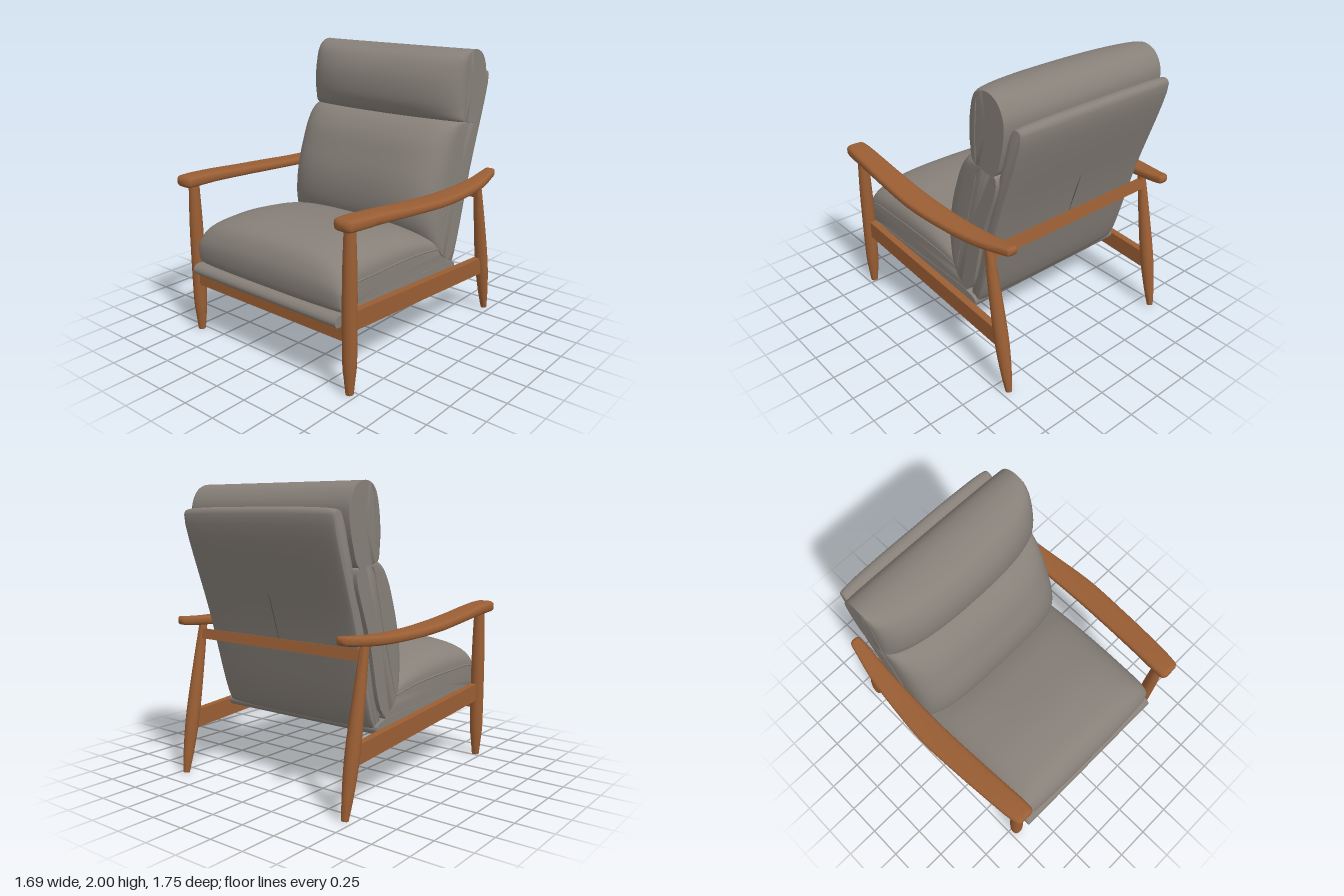
import * as THREE from 'three';
import { mergeVertices, toCreasedNormals } from 'three/addons/utils/BufferGeometryUtils.js';

const wood = new THREE.MeshStandardMaterial({ color: 0x9a5e34 });
wood.name = 'wood';
const leather = new THREE.MeshStandardMaterial({ color: 0x878079 });
leather.name = 'grey leather';
const seamMat = new THREE.MeshStandardMaterial({ color: 0x55504c });
seamMat.name = 'dark seam';

const V = (x, y, z) => new THREE.Vector3(x, y, z);

function add(parent, name, geometry, material) {
  const m = new THREE.Mesh(geometry, material);
  m.name = name;
  parent.add(m);
  return m;
}

// Closed skin over a row of rings, with fan caps at both ends
function skin(rings, crease = 0.7) {
  const n = rings[0].length, pos = [], idx = [];
  rings.forEach(r => r.forEach(p => pos.push(p.x, p.y, p.z)));
  for (let i = 0; i < rings.length - 1; i++) {
    for (let j = 0; j < n; j++) {
      const k = (j + 1) % n;
      const a = i * n + j, b = a + n, c = i * n + k, d = c + n;
      idx.push(a, b, d, a, d, c);
    }
  }
  [0, rings.length - 1].forEach((i, last) => {
    const mid = V(0, 0, 0);
    rings[i].forEach(p => mid.addScaledVector(p, 1 / n));
    const c = pos.length / 3;
    pos.push(mid.x, mid.y, mid.z);
    for (let j = 0; j < n; j++) {
      const a = i * n + j, b = i * n + (j + 1) % n;
      idx.push(c, last ? b : a, last ? a : b);
    }
  });
  const g = new THREE.BufferGeometry();
  g.setAttribute('position', new THREE.Float32BufferAttribute(pos, 3));
  g.setIndex(idx);
  return toCreasedNormals(mergeVertices(g), crease);
}

// Smooth closed (z, y) profile
function profile(points) {
  const c = new THREE.CatmullRomCurve3(points.map(([z, y]) => V(0, y, z)), true);
  return c.getPoints(points.length * 6).slice(0, -1);
}

// Cushion: the side profile swells to the middle profile along a superellipse
function cushion(middle, side, halfWidth, power) {
  const m = profile(middle), s = profile(side), rings = [], steps = 36;
  for (let i = 0; i <= steps; i++) {
    const a = (i / steps - 0.5) * Math.PI;
    const u = Math.sign(a) * Math.pow(Math.abs(Math.sin(a)), 2 / power);
    const f = Math.pow(Math.max(0, Math.cos(a)), 2 / power);
    rings.push(s.map((p, j) => {
      const q = p.clone().lerp(m[j], i === 0 || i === steps ? 0 : f);
      q.x = u * halfWidth;
      return q;
    }));
  }
  return skin(rings);
}

function tube(points, radius) {
  return new THREE.TubeGeometry(new THREE.CatmullRomCurve3(points), 32, radius, 6);
}

function addPiping(parent, name, side, x) {
  for (const s of [-1, 1]) {
    add(parent, name, tube(side.map(([z, y]) => V(s * x, y, z)), 0.007), leather);
  }
}

// Turned leg from [radius, height] pairs
function leg(points) {
  const curve = new THREE.SplineCurve(points.map(([r, y]) => new THREE.Vector2(r, y)));
  const top = points[points.length - 1][1], foot = points[0][1];
  const outline = [new THREE.Vector2(0, foot), ...curve.getPoints(20), new THREE.Vector2(0, top)];
  return toCreasedNormals(new THREE.LatheGeometry(outline, 20), 0.7);
}

// Armrest stations, front to back: z, inner x, outer x, top y, bottom y
const armStations = [
  [0.875, 0.665, 0.76, 1.145, 1.1],
  [0.86, 0.643, 0.777, 1.16, 1.086],
  [0.8, 0.638, 0.79, 1.163, 1.083],
  [0.6, 0.648, 0.81, 1.152, 1.078],
  [0.3, 0.662, 0.832, 1.125, 1.06],
  [0, 0.67, 0.845, 1.102, 1.04],
  [-0.3, 0.667, 0.823, 1.088, 1.026],
  [-0.6, 0.655, 0.785, 1.09, 1.027],
  [-0.8, 0.643, 0.738, 1.105, 1.045],
  [-0.86, 0.645, 0.722, 1.111, 1.055],
  [-0.873, 0.66, 0.705, 1.1, 1.067],
];

function armrest(side) {
  const centre = new THREE.CatmullRomCurve3(armStations.map(([z, a, b, t, o]) => V(side * (a + b) / 2, (t + o) / 2, z)));
  const size = new THREE.CatmullRomCurve3(armStations.map(([z, a, b, t, o]) => V((b - a) / 2, (t - o) / 2, z)));
  const round = v => Math.sign(v) * Math.pow(Math.abs(v), 0.55);
  const rings = [];
  for (let i = 0; i <= 50; i++) {
    const c = centre.getPoint(i / 50), h = size.getPoint(i / 50), ring = [];
    for (let j = 0; j < 24; j++) {
      const a = j / 24 * Math.PI * 2;
      ring.push(V(c.x + h.x * round(Math.cos(a)), c.y + h.y * round(Math.sin(a)), c.z));
    }
    rings.push(ring);
  }
  return skin(rings, 0.9);
}

export function createModel() {
  const chair = new THREE.Group();
  chair.name = 'lounge chair';

  // Wooden frame
  const frame = new THREE.Group();
  frame.name = 'frame';
  chair.add(frame);
  const frontLeg = leg([[0.026, 0], [0.036, 0.1], [0.046, 0.22], [0.048, 0.5], [0.046, 0.8], [0.036, 1.1]]);
  const rearLeg = leg([[0.022, 0.005], [0.034, 0.12], [0.045, 0.3], [0.047, 0.48], [0.038, 0.8], [0.027, 1.06]]);
  for (const s of [-1, 1]) {
    add(frame, 'frontLeg', frontLeg, wood).position.set(s * 0.7, 0, 0.783);
    const rear = add(frame, 'rearLeg', rearLeg, wood);
    rear.position.set(s * 0.7, 0, -0.85);
    rear.rotation.x = Math.atan2(0.195, 1.04);
    const rail = add(frame, 'sideRail', new THREE.BoxGeometry(0.05, 0.125, 1.52), wood);
    rail.position.set(s * 0.69, 0.432, 0);
    rail.rotation.x = -0.07;
    add(frame, 'armrest', armrest(s), wood);
  }
  add(frame, 'frontRail', new THREE.BoxGeometry(1.36, 0.095, 0.05), wood).position.set(0, 0.408, 0.785);
  const backRail = add(frame, 'backRail', new THREE.BoxGeometry(1.38, 0.07, 0.04), wood);
  backRail.position.set(0, 0.97, -0.668);
  backRail.rotation.x = 0.19;

  // Upholstered platform under the seat
  const base = [[0.85, 0.46], [0.866, 0.49], [0.845, 0.524], [0.78, 0.53], [0.2, 0.527], [-0.4, 0.505],
    [-0.46, 0.47], [-0.44, 0.425], [0.2, 0.44], [0.78, 0.452]];
  add(chair, 'seatPlatform', cushion(base, base, 0.655, 4), leather);

  // Seat cushion
  const seatSide = [[0.79, 0.55], [0.8, 0.6], [0.795, 0.65], [0.74, 0.685], [0.5, 0.69], [0.2, 0.685],
    [-0.05, 0.67], [-0.27, 0.64], [-0.36, 0.6], [-0.36, 0.51], [0.2, 0.52], [0.76, 0.528]];
  const seatMiddle = [[0.83, 0.55], [0.852, 0.63], [0.84, 0.74], [0.76, 0.855], [0.5, 0.907], [0.2, 0.885],
    [-0.05, 0.835], [-0.28, 0.72], [-0.38, 0.6], [-0.36, 0.51], [0.2, 0.52], [0.78, 0.528]];
  add(chair, 'seatCushion', cushion(seatMiddle, seatSide, 0.652, 2.8), leather);
  addPiping(chair, 'seatPiping', seatSide.slice(1, 8), 0.65);

  // Back cushion
  const backSide = [[-0.27, 0.66], [-0.31, 0.8], [-0.35, 0.92], [-0.4, 1.07], [-0.44, 1.22], [-0.48, 1.36],
    [-0.5, 1.45], [-0.53, 1.49], [-0.6, 1.49], [-0.68, 1.47], [-0.55, 1.04], [-0.4, 0.55], [-0.3, 0.58]];
  const backMiddle = [[-0.16, 0.7], [-0.085, 0.82], [-0.065, 0.95], [-0.08, 1.1], [-0.13, 1.25], [-0.2, 1.4],
    [-0.3, 1.5], [-0.4, 1.53], [-0.55, 1.5], [-0.68, 1.47], [-0.55, 1.04], [-0.4, 0.55], [-0.28, 0.58]];
  add(chair, 'backCushion', cushion(backMiddle, backSide, 0.66, 3.6), leather);
  addPiping(chair, 'backPiping', backSide.slice(0, 8), 0.658);

  // Head pillow
  const headSide = [[-0.5, 1.52], [-0.5, 1.6], [-0.5, 1.7], [-0.51, 1.83], [-0.52, 1.93], [-0.55, 1.98],
    [-0.62, 1.995], [-0.7, 1.96], [-0.75, 1.88], [-0.76, 1.8], [-0.73, 1.62], [-0.67, 1.49], [-0.55, 1.5]];
  const headMiddle = [[-0.36, 1.52], [-0.305, 1.6], [-0.29, 1.7], [-0.31, 1.83], [-0.38, 1.94], [-0.48, 1.985],
    [-0.6, 1.995], [-0.7, 1.96], [-0.76, 1.88], [-0.77, 1.8], [-0.73, 1.62], [-0.67, 1.49], [-0.5, 1.5]];
  add(chair, 'headPillow', cushion(headMiddle, headSide, 0.665, 2.5), leather);
  addPiping(chair, 'headPiping', headSide.slice(0, 6), 0.662);

  // Backrest panel with stitched seams behind
  const panelSide = [[-0.4, 0.51], [-0.6, 1.16], [-0.785, 1.79], [-0.81, 1.815], [-0.84, 1.815], [-0.855, 1.79],
    [-0.655, 1.14], [-0.455, 0.48], [-0.43, 0.465]];
  const panelMiddle = [[-0.385, 0.5], [-0.585, 1.16], [-0.78, 1.8], [-0.81, 1.838], [-0.86, 1.838], [-0.88, 1.8],
    [-0.68, 1.14], [-0.48, 0.47], [-0.44, 0.455]];
  add(chair, 'backPanel', cushion(panelMiddle, panelSide, 0.632, 3), leather);
  add(chair, 'backSeamUpright', tube([V(0, 1.5, -0.789), V(0, 1.14, -0.68), V(0, 0.48, -0.483)], 0.004), seamMat);
  const across = [[-0.6, -0.777], [-0.4, -0.787], [0, -0.789], [0.4, -0.787], [0.6, -0.777]];
  add(chair, 'backSeamAcross', tube(across.map(([x, z]) => V(x, 1.5, z)), 0.004), leather);

  return chair;
}
